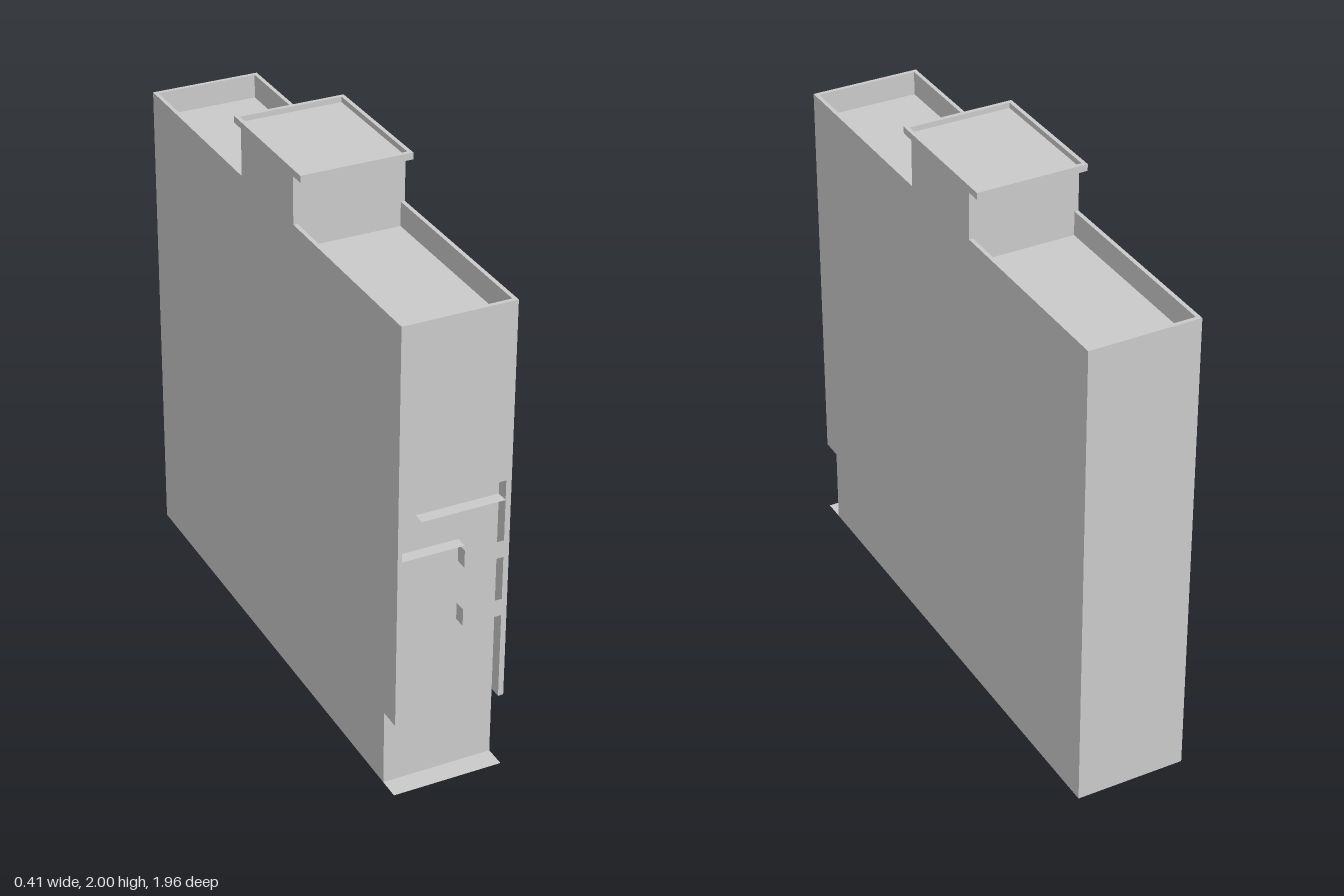
import * as THREE from 'three';

const X = 0.205, Z = 0.98, NECK = 0.205, CAP = 0.26, TOP = 1.8, STEP = 0.29, RIM = 0.015;
const FOOT = 0.9, PANEL = 0.935;

export function createModel() {
  const model = new THREE.Group();
  const material = new THREE.MeshStandardMaterial({ color: 0xcccccc, side: THREE.DoubleSide, flatShading: true });

  const add = (name, geometry, parent = model) => {
    const mesh = new THREE.Mesh(geometry, material);
    mesh.name = name;
    parent.add(mesh);
    return mesh;
  };
  const outline = (points) => new THREE.Shape(points.map(([a, b]) => new THREE.Vector2(a, b)));
  const rect = (a0, b0, a1, b1) => outline([[a0, b0], [a1, b0], [a1, b1], [a0, b1]]);

  // Flat sheets facing along each axis
  const sheetZ = (name, shape, z, parent) =>
    add(name, new THREE.ShapeGeometry(shape).translate(0, 0, z), parent);
  const sheetX = (name, shape, x, parent) => // shape drawn in (z, y)
    add(name, new THREE.ShapeGeometry(shape).rotateY(-Math.PI / 2).translate(x, 0, 0), parent);
  const sheetY = (name, shape, y, parent) => // shape drawn in (x, z)
    add(name, new THREE.ShapeGeometry(shape).rotateX(Math.PI / 2).translate(0, y, 0), parent);

  // Recessed tray: rim, inner walls and floor
  function tray(name, z0, z1, top, depth, pad0, pad1) {
    const group = new THREE.Group();
    group.name = name;
    model.add(group);
    const a = z0 + pad0, b = z1 - pad1, w = X - RIM, floor = top - depth;
    const rim = rect(-X, z0, X, z1);
    rim.holes.push(rect(-w, a, w, b));
    sheetY('rim', rim, top, group);
    sheetY('trayFloor', rect(-w, a, w, b), floor, group);
    for (const x of [-w, w]) sheetX('traySide', rect(a, floor, b, top), x, group);
    for (const z of [a, b]) sheetZ('trayEnd', rect(-w, floor, w, top), z, group);
  }

  // Hollow case, open underneath, with the neck part of each side
  const side = [
    [-Z, 0], [FOOT, 0], [FOOT, STEP], [Z, STEP], [Z, TOP], [NECK, TOP],
    [NECK, 1.975], [-NECK, 1.975], [-NECK, TOP], [-Z, TOP],
  ];
  for (const x of [-X, X]) sheetX('sidePanel', outline(side), x);
  sheetZ('backPanel', rect(-X, 0, X, TOP), -Z);
  sheetZ('lowerFrontPanel', rect(-X, 0, X, STEP), FOOT);
  sheetY('bottomLip', rect(-X, FOOT, X, Z), 0);

  // Front frame with the two tabs reaching in from one rail
  const L = -0.19, R = 0.185, T = 0.04, HEAD = 1.145;
  const tabs = [[0.85, 0.915], [0.62, 0.685]];
  const frame = [[-X, STEP], [L, STEP], [L, HEAD], [R, HEAD]];
  for (const [y0, y1] of tabs) frame.push([R, y1], [T, y1], [T, y0], [R, y0]);
  frame.push([R, STEP], [X, STEP], [X, TOP], [-X, TOP]);
  sheetZ('frontFrame', outline(frame), Z);

  // Recess behind the frame
  sheetZ('recessPanel', rect(L, STEP, R, HEAD), PANEL);
  for (const x of [L, R]) sheetX('recessSide', rect(PANEL, STEP, Z, HEAD), x);
  sheetY('recessTop', rect(L, PANEL, R, Z), HEAD);
  sheetY('recessLedge', rect(-X, FOOT, X, PANEL), STEP);
  for (const [y0, y1] of tabs) sheetX('tabEnd', rect(PANEL, y0, Z, y1), T);
  sheetY('upperShelf', rect(-0.12, PANEL, R, Z), 1.07);
  sheetY('lowerShelf', rect(L, PANEL, T, Z), 0.935);

  // Shallow trays either side of the neck
  tray('frontTray', NECK, Z, TOP, 0.09, 0, RIM);
  tray('backTray', -Z, -NECK, TOP, 0.09, RIM, 0);

  // Neck ends
  for (const z of [-NECK, NECK]) sheetZ('neckEnd', rect(-X, TOP, X, 1.975), z);

  // Cap with a raised rim
  tray('capTray', -CAP, CAP, 2, 0.02, RIM, RIM);
  for (const x of [-X, X]) sheetX('capSide', rect(-CAP, 1.975, CAP, 2), x);
  for (const z of [-CAP, CAP]) sheetZ('capEnd', rect(-X, 1.975, X, 2), z);
  sheetY('capUnderside', rect(-X, -CAP, X, CAP), 1.975);

  return model;
}
